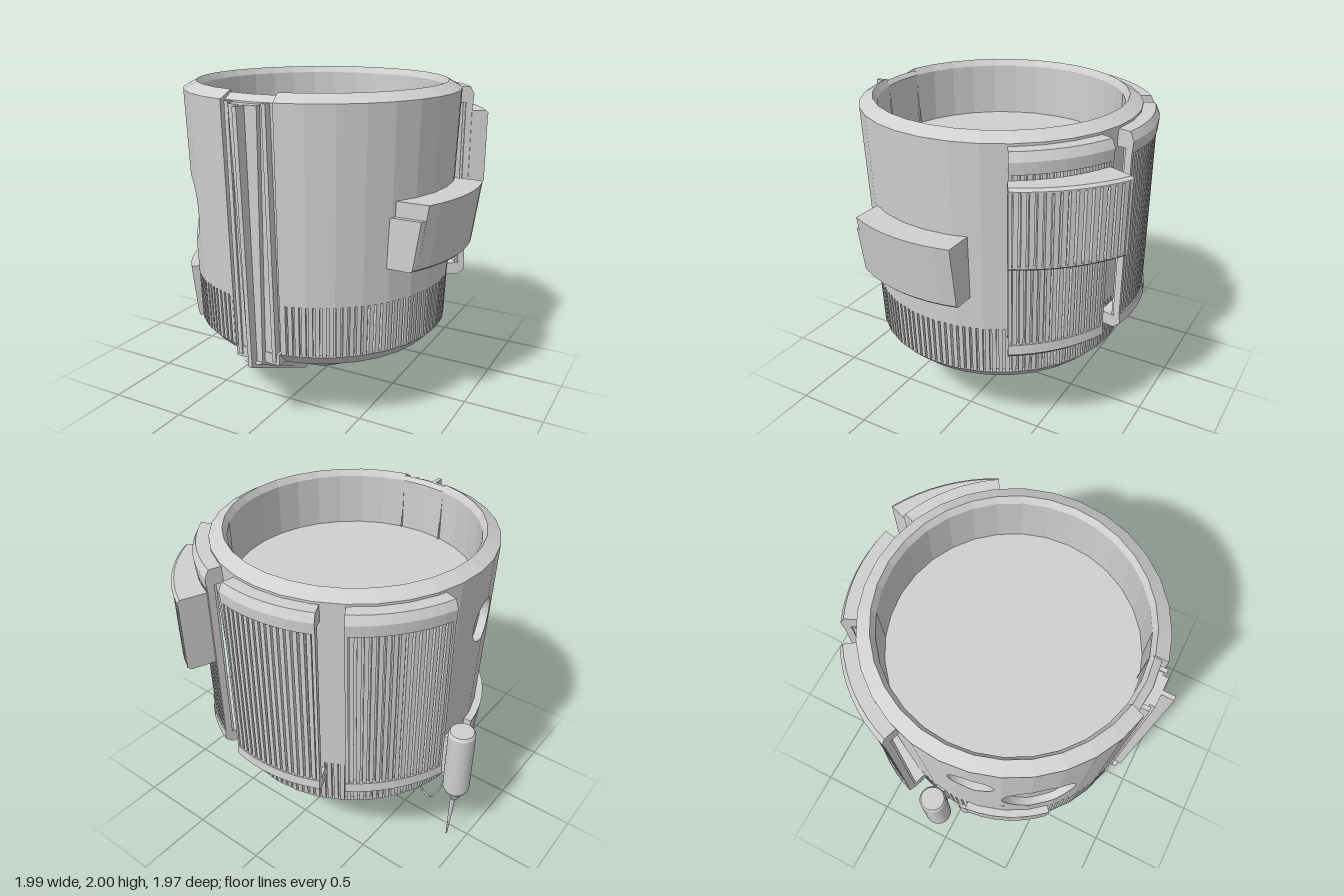
import * as THREE from 'three';
import { mergeGeometries } from 'three/addons/utils/BufferGeometryUtils.js';

const D = Math.PI / 180, STEP = 11.25, XC = -0.004, ZC = 0.048;
const gray = new THREE.MeshStandardMaterial({ color: 0xd0d0d0, side: THREE.DoubleSide });
gray.name = 'hull gray';

// Hull radius at a height (slight taper)
const R = (y) => 0.803 + 0.048 * (y - 0.5) / 1.455;

// Point at a radius, height and angle in degrees from the front toward +x
const round = (r, y, a) => [r * Math.sin(a * D) + XC, y, r * Math.cos(a * D) + ZC];
// The same on the 32-sided hull
function faceted(r, y, a) {
  const d = ((a % STEP) + STEP) % STEP - STEP / 2;
  return round(r * Math.cos(STEP / 2 * D) / Math.cos(d * D), y, a);
}

// Flat-shaded surface from a grid of points
function sheet(rows, caps) {
  const pos = [], m = rows[0].length;
  const tri = (a, b, c) => pos.push(...a, ...b, ...c);
  for (let i = 0; i + 1 < rows.length; i++) {
    for (let j = 0; j + 1 < m; j++) {
      const a = rows[i][j], b = rows[i + 1][j], c = rows[i + 1][j + 1], d = rows[i][j + 1];
      tri(a, b, c);
      tri(a, c, d);
    }
  }
  if (caps) {
    const last = rows[rows.length - 1];
    for (const [i, j, k] of caps) {
      tri(rows[0][i], rows[0][j], rows[0][k]);
      tri(last[i], last[k], last[j]);
    }
  }
  const g = new THREE.BufferGeometry();
  g.setAttribute('position', new THREE.Float32BufferAttribute(pos, 3));
  g.computeVertexNormals();
  return g;
}

// Sweep a counter-clockwise [radius, y] profile along angles; closed profiles become solids
const vec2 = (pts) => pts.map((p) => new THREE.Vector2(...p));
function sweep(profile, ts, place = faceted, closed = false) {
  const p = closed ? [...profile, profile[0]] : profile;
  const caps = closed && THREE.ShapeUtils.triangulateShape(vec2(profile), []);
  return sheet(ts.map((t) => p.map(([r, y]) => place(r, y, t))), caps);
}
const solid = (profile, ts, place = round) => sweep(profile, ts, place, true);

// Angles from a to b including every hull edge between
function edges(a, b) {
  const out = [a];
  for (let k = Math.floor(a / STEP) + 1; k * STEP < b - 1e-6; k++) out.push(k * STEP);
  return [...out, b];
}
const span = (a, b, n) => Array.from({ length: n + 1 }, (_, i) => a + (b - a) * i / n);
const rect = (r0, r1, y0, y1) => [[r0, y0], [r1, y0], [r1, y1], [r0, y1]];

// Wall section with a round recess
const wallBand = (y0, y1, ts) => sweep([[R(y0), y0], [R(y1), y1]], ts);
function portWall(a, half, yc, rad) {
  const h = half * D * 0.83, N = 64, at = (phi, s, inset) => {
    const y = yc + Math.sin(phi) * s;
    return faceted(R(y) - inset, y, a + Math.cos(phi) * s / 0.83 / D);
  };
  const rows = span(0, Math.PI * 2, N).map((phi) => {
    const sq = h / Math.max(Math.abs(Math.cos(phi)), Math.abs(Math.sin(phi)));
    return [...span(sq, rad, 3).map((s) => at(phi, s, 0)),
      at(phi, rad, 0.05), at(phi, rad / 2, 0.05), at(phi, 0, 0.05)];
  });
  const ts = edges(a - half, a + half);
  return [sheet(rows), wallBand(0.81, yc - h, ts), wallBand(yc + h, 1.955, ts)];
}

export function createModel() {
  const root = new THREE.Group();
  root.name = 'capsule';
  const add = (name, geos, parent = root) => {
    const mesh = new THREE.Mesh(Array.isArray(geos) ? mergeGeometries(geos) : geos, gray);
    mesh.name = name;
    parent.add(mesh);
    return mesh;
  };
  const main = edges(STEP, 360 - STEP), all = edges(0, 360);

  // Hull: wall with two round ports, rim, slotted skirt, underside
  add('outerWall', [
    wallBand(0.81, 1.955, edges(STEP, 270)), ...portWall(280, 10, 1.56, 0.135),
    wallBand(0.81, 1.955, edges(290, 291)), ...portWall(308, 17, 1.235, 0.23),
    wallBand(0.81, 1.955, edges(325, 360 - STEP))]);
  add('rim', sweep([[R(1.955), 1.955], [0.77, 2], [0.745, 1.96]], main));
  add('innerWall', sweep([[0.745, 1.96], [0.745, 1.63]], all));
  add('floor', sweep([[0.745, 1.63], [0, 1.63]], all));
  add('skirt', sweep([[0.61, 0.42], [0.725, 0.42], [R(0.5), 0.5], [R(0.5) - 0.03, 0.5],
    [R(0.81) - 0.03, 0.81], [R(0.81), 0.81]], main));
  add('bottomCone', sweep([[0, 0.15], [0.228, 0.15], [0.61, 0.42]], all));
  const ribs = [];
  for (let k = 4; k < 124; k++) {
    const a = (k + 0.5) * STEP / 4;
    ribs.push(solid([[R(0.5) - 0.035, 0.5], [R(0.5), 0.5], [R(0.81), 0.81], [R(0.81) - 0.035, 0.81]],
      [a - 0.9, a + 0.9], faceted));
  }
  add('skirtRibs', ribs);

  // Front channel between the hull edges, with rails and a fin
  add('channelBack', sweep([[0.61, 0.42], [0.69, 0.42], [0.765, 0.5], [0.815, 1.95],
    [0.77, 1.985], [0.745, 1.96]], edges(-STEP, STEP)));
  const edgeProfile = [[0.68, 0.421], [0.724, 0.421], [0.802, 0.501], [0.85, 1.954], [0.77, 1.999], [0.746, 1.95]];
  add('channelEdges', [solid(edgeProfile, [STEP, STEP + 0.6], faceted),
    solid(edgeProfile, [-STEP - 0.6, -STEP], faceted)]);
  // Upright plate following the hull taper
  const plate = (x0t, x1t, x0b, x1b, y0, y1, proud, depth) => {
    const s = new THREE.Shape(vec2([[x0b, y0], [x1b, y0], [x1t, y1], [x0t, y1]]));
    const g = new THREE.ExtrudeGeometry(s, { depth, bevelEnabled: false });
    const p = g.attributes.position;
    for (let i = 0; i < p.count; i++) p.setZ(i, p.getZ(i) + R(p.getY(i)) + ZC + proud - depth);
    g.computeVertexNormals();
    return g.translate(XC, 0, 0);
  };
  add('railBase', plate(-0.125, 0.125, -0.12, 0.12, 0.5, 1.94, -0.015, 0.06));
  add('railPlate', plate(-0.09, 0.09, -0.05, 0.05, 0.43, 1.94, 0.018, 0.08));
  add('sideRails', [[-0.13, -0.105], [0.105, 0.13]].map(([a, b]) => plate(a, b, a, b, 0.45, 1.95, -0.002, 0.06)));
  add('railFeet', [[-0.15, -0.04], [0.04, 0.15]].map(([a, b]) => plate(a, b, a, b, 0.43, 0.5, -0.01, 0.1)));
  // Slab drawn in side view as [z, y]
  const slab = (pts, depth) => new THREE.ExtrudeGeometry(new THREE.Shape(vec2(pts)), { depth, bevelEnabled: false })
    .rotateY(-Math.PI / 2).translate(depth / 2, 0, 0);
  add('fin', slab([[0.84, 1.94], [0.99, 1.94], [0.92, 0.42], [0.31, 0.14], [0.25, 0.16], [0.78, 0.5]], 0.026)
    .translate(XC, 0, 0));
  const tail = slab([[0.7, 0.44], [0.9, 0.44], [0.32, 0.15], [0.26, 0.17]], 0.1);
  const tp = tail.attributes.position;
  for (let i = 0; i < tp.count; i++) tp.setX(i, tp.getX(i) * (tp.getY(i) - 0.1) / 0.34);
  tail.computeVertexNormals();
  add('finTail', tail.translate(XC, 0, 0));

  // Ribbed radiator panels around the back: end caps on the hull, plate standing off it
  const ribbed = (c, half, n, core, top, y0, y1, place) => span(c - half, c + half, n).map((a) =>
    solid(rect(core - 0.01, top, y0, y1), [a - 0.75, a + 0.75], place));
  for (const c of [140.5, 186.7, 232.6]) {
    const panel = new THREE.Group();
    panel.name = 'radiatorPanel';
    root.add(panel);
    const wide = span(c - 18.4, c + 18.4, 8);
    add('panelCore', solid(rect(0.885, 0.908, 0.74, 1.9), span(c - 17.8, c + 17.8, 8)), panel);
    add('panelTopCap', solid([[0.78, 1.84], [0.9, 1.84], [0.915, 1.82], [0.945, 1.82], [0.95, 1.89], [0.925, 1.94], [0.78, 1.94]], wide), panel);
    add('panelBottomCap', solid([[0.76, 0.69], [0.905, 0.69], [0.95, 0.73], [0.945, 0.79], [0.915, 0.79], [0.9, 0.77], [0.76, 0.77]], wide), panel);
    add('panelSides', [-1, 1].map((s) => solid(rect(0.9, 0.943, 0.78, 1.83),
      [c + s * 17.85 - 0.55, c + s * 17.85 + 0.55])), panel);
    add('panelRibs', ribbed(c, 16.2, 14, 0.908, 0.938, 0.78, 1.83), panel);
  }
  // Raised box on one panel, thicker toward the back
  const bc = 139.7, bw = span(bc - 17.9, bc + 17.9, 8);
  const wedge = (r, y, a) => round(r + (r > 1 ? (a - bc) * 0.00196 : 0), y, a);
  add('upperBox', solid(rect(0.94, 1.05, 1.33, 1.78), bw, wedge));
  add('upperBoxCaps', [solid([[0.94, 1.765], [1.082, 1.765], [1.082, 1.775], [1.065, 1.79], [0.94, 1.79]], bw, wedge),
    solid([[0.94, 1.32], [1.055, 1.32], [1.074, 1.335], [1.074, 1.345], [0.94, 1.345]], bw, wedge)]);
  add('upperBoxSides', [-1, 1].map((s) => solid(rect(1.04, 1.078, 1.335, 1.775),
    [bc + s * 17.4 - 0.5, bc + s * 17.4 + 0.5], wedge)));
  add('upperBoxRibs', ribbed(bc, 15.8, 14, 1.05, 1.078, 1.34, 1.77, wedge));

  // Side fairing with flat ends and a stepped front
  const flatEnd = (r, y, t) => [Math.sqrt(r * r - t * t) + 0.01, y, t + 0.045];
  add('sideFairing', solid([[0.79, 1.02], [0.925, 1.02], [0.938, 1.033], [0.988, 1.41], [0.8, 1.41]],
    span(-0.24, 0.445, 8), flatEnd));
  add('fairingStep', solid([[0.8, 1.02], [0.925, 1.02], [0.938, 1.033], [0.975, 1.32], [0.82, 1.32]],
    [0.445, 0.475], flatEnd));

  // Skirt cover plate
  add('coverPlate', solid([[0.77, 0.5], [0.82, 0.5], [0.83, 0.53], [0.86, 0.84], [0.78, 0.84]], span(276, 312.7, 6)));

  // Hanging canister with needle
  const lathe = (pts, n = 20) => mergeGeometries(pts.slice(1).map((p, i) =>
    new THREE.LatheGeometry(vec2([pts[i], p]), n)));
  const canister = new THREE.Group();
  canister.name = 'canister';
  canister.position.set(-0.908, 0, -0.065);
  root.add(canister);
  add('canisterBody', lathe([[0, 0.355], [0.022, 0.355], [0.055, 0.43], [0.068, 0.43], [0.085, 0.465],
    [0.085, 0.905], [0.074, 0.925], [0, 0.925]]), canister);
  add('canisterMount', new THREE.BoxGeometry(0.12, 0.3, 0.06).translate(0.09, 0.7, 0), canister);
  const needle = new THREE.CylinderGeometry(0.018, 0.005, 0.35, 8);
  add('needle', needle.rotateZ(0.05).translate(0.014, 0.18, -0.012), canister);

  // Small nozzle, cable and ball joint
  const nozzle = add('nozzle', lathe([[0, 0.335], [0.025, 0.335], [0.05, 0.39], [0.058, 0.39], [0.058, 0.56], [0, 0.56]], 16));
  nozzle.position.set(-0.768, 0, 0.08);
  const path = new THREE.CatmullRomCurve3([[-0.755, 0.34], [-0.72, 0.2], [-0.665, 0.09], [-0.63, 0.068],
    [-0.59, 0.09], [-0.55, 0.18], [-0.53, 0.27]].map(([x, y]) => new THREE.Vector3(x, y, 0.08)));
  add('cable', new THREE.TubeGeometry(path, 32, 0.007, 6));
  add('cablePlug', new THREE.CylinderGeometry(0.02, 0.02, 0.09, 12).rotateZ(Math.PI / 2).translate(-0.495, 0.28, 0.08));
  add('ballJoint', new THREE.SphereGeometry(0.1, 20, 14).translate(-0.405, 0.29, 0.08));
  add('ballKnob', new THREE.SphereGeometry(0.042, 14, 10).translate(-0.415, 0.265, 0.165));
  return root;
}
